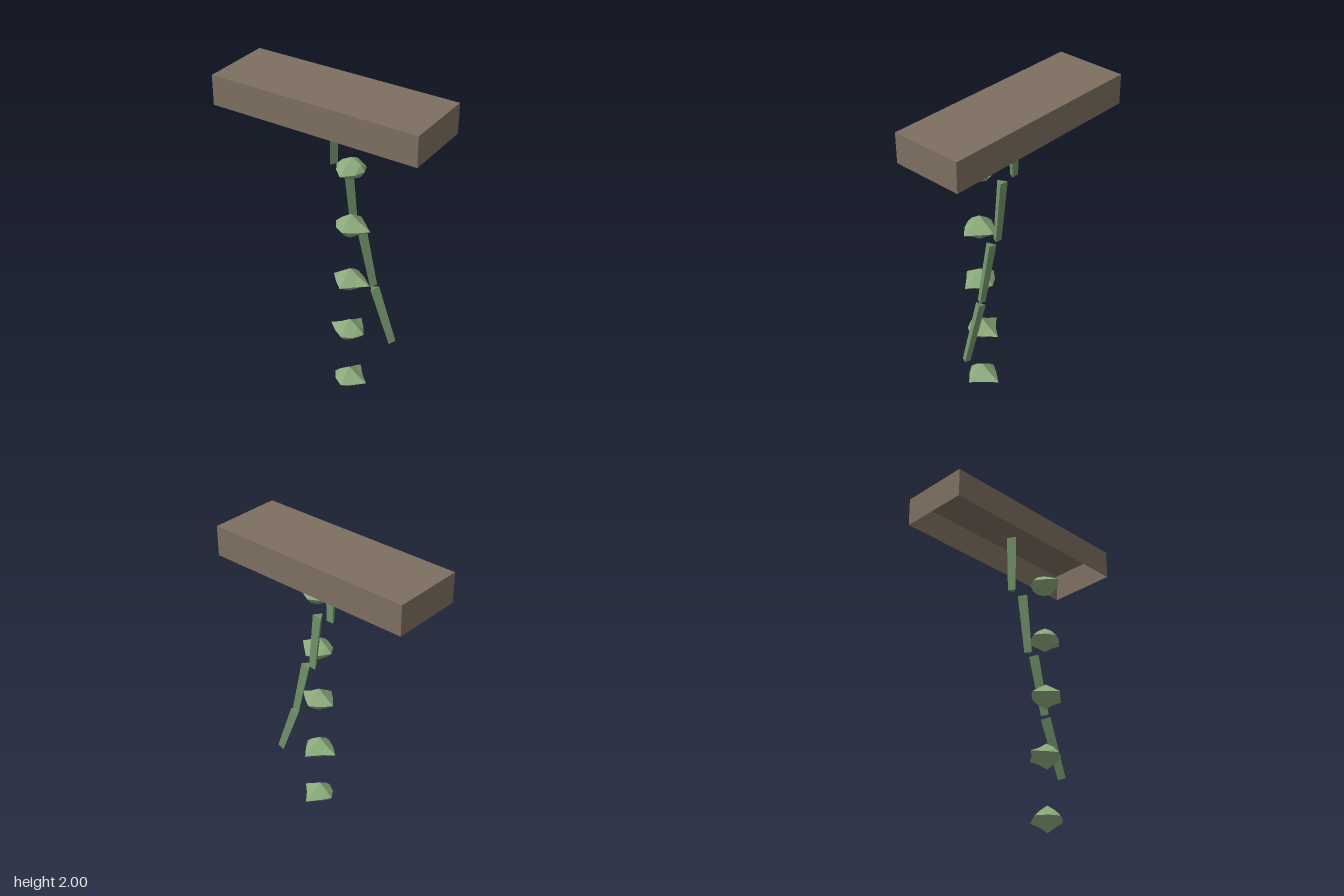
import * as THREE from 'three';

const material = (color, side = THREE.FrontSide) =>
  new THREE.MeshStandardMaterial({ color, side, flatShading: true });

// Planter: a box with its underside left open
function createPlanter() {
  const geometry = new THREE.BoxGeometry(1.33, 0.185, 0.45);
  const index = Array.from(geometry.index.array);
  index.splice(18, 6);
  geometry.setIndex(index);
  geometry.clearGroups();
  const planter = new THREE.Mesh(geometry, material(0x7d6e60, THREE.DoubleSide));
  planter.name = 'planter';
  planter.position.y = 1.9075;
  return planter;
}

// Leaf cluster: a flattened, subdivided octahedron with its corners drawn out.
// tips = reach towards -x, +x, -z, +z
function leafGeometry([left, right, back, front], up, down) {
  const geometry = new THREE.OctahedronGeometry(1, 1);
  const p = geometry.attributes.position;
  const v = new THREE.Vector3();
  for (let i = 0; i < p.count; i++) {
    v.fromBufferAttribute(p, i);
    if (Math.abs(v.x) > 0.9) v.multiplyScalar(v.x < 0 ? left : right);
    else if (Math.abs(v.z) > 0.9) v.multiplyScalar(v.z < 0 ? back : front);
    else if (Math.abs(v.y) > 0.9) v.multiplyScalar(v.y < 0 ? down : up);
    else v.multiply(new THREE.Vector3(0.087, 0.054, 0.087));
    p.setXYZ(i, v.x, v.y, v.z);
  }
  geometry.computeVertexNormals();
  return geometry;
}

export function createModel() {
  const model = new THREE.Group();
  model.name = 'hangingPlanter';
  model.add(createPlanter());

  // Vine: three-sided tapering segments, each leaning further than the last
  const vine = new THREE.Group();
  vine.name = 'vine';
  const segment = new THREE.CylinderGeometry(0.035, 0.028, 0.38, 3);
  const stemMaterial = material(0x6f9269);
  for (let i = 0; i < 4; i++) {
    const stem = new THREE.Mesh(segment, stemMaterial);
    stem.name = `vineSegment${i + 1}`;
    stem.position.set(0.12 * i, 1.724 - 0.38 * i, 0);
    stem.rotation.z = 0.12 * i;
    vine.add(stem);
  }
  model.add(vine);

  // Leaves: a straight column of irregular clusters
  const leaves = new THREE.Group();
  leaves.name = 'leaves';
  const leafMaterial = material(0x8caa7c);
  const tips = [
    [0.098, 0.087, 0.095, 0.122],
    [0.102, 0.13, 0.115, 0.094],
    [0.115, 0.135, 0.1, 0.117],
    [0.135, 0.102, 0.138, 0.096],
    [0.103, 0.126, 0.138, 0.1],
  ];
  tips.forEach((reach, i) => {
    const leaf = new THREE.Mesh(
      leafGeometry(reach, i ? 0.08 : 0.07, i ? 0.083 : 0.073), leafMaterial);
    leaf.name = `leafCluster${i + 1}`;
    leaf.position.set(0.187, 1.605 - 0.38 * i, 0.097);
    leaves.add(leaf);
  });
  model.add(leaves);
  return model;
}
